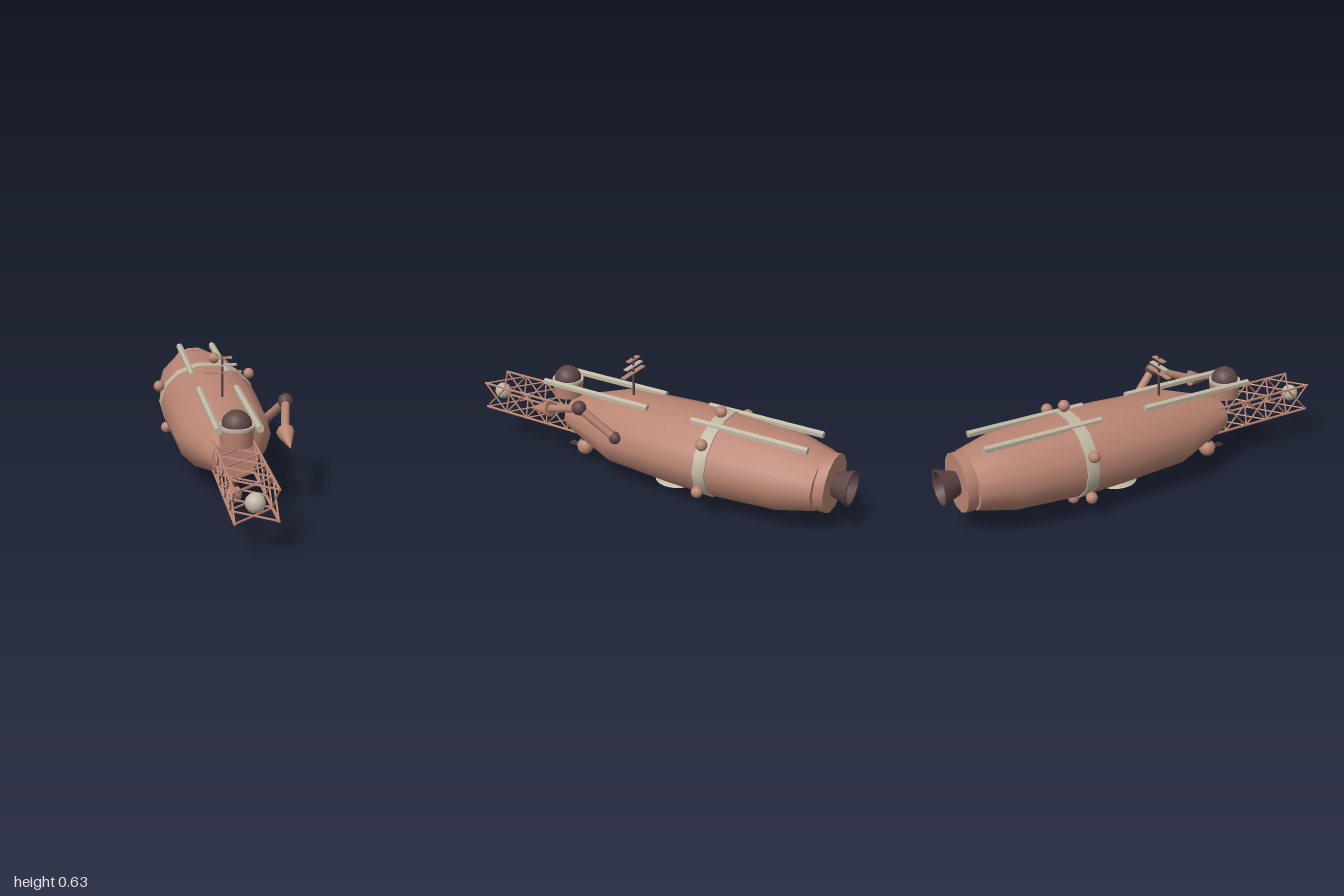
import * as THREE from 'three';
import { toCreasedNormals } from 'three/addons/utils/BufferGeometryUtils.js';

const CX = -0.016, CY = 0.257; // hull axis
const mat = (name, color, side = THREE.FrontSide) => {
  const m = new THREE.MeshStandardMaterial({ color, side });
  m.name = name;
  return m;
};
const V = (x, y, z) => new THREE.Vector3(x, y, z);

export function createModel() {
  const root = new THREE.Group();
  root.name = 'submarine';
  const hullPaint = mat('hull salmon', 0xb98472);
  const cream = mat('cream trim', 0xc0b7a2);
  const dark = mat('dark brown', 0x5c4444);
  const glass = mat('purple glass', 0x35254a);

  const add = (name, geo, material, x = 0, y = 0, z = 0, parent = root) => {
    const m = new THREE.Mesh(geo, material);
    m.name = name;
    m.position.set(x, y, z);
    parent.add(m);
    return m;
  };
  const ball = (name, r, material, p, parent = root) =>
    add(name, new THREE.SphereGeometry(r, 12, 8), material, p.x, p.y, p.z, parent);
  // Cylinder or cone running from a to b
  const rod = (name, a, b, r, material, sides = 6, rEnd = r, parent = root) => {
    const dir = b.clone().sub(a);
    const geo = toCreasedNormals(new THREE.CylinderGeometry(rEnd, r, dir.length(), sides), 0.9);
    const mid = a.clone().add(b).multiplyScalar(0.5);
    const m = add(name, geo, material, mid.x, mid.y, mid.z, parent);
    m.quaternion.setFromUnitVectors(V(0, 1, 0), dir.normalize());
    return m;
  };
  // Profile of [z, radius] turned round the long axis, squashed in height
  const spin = (profile, squash = 1) => new THREE.LatheGeometry(
    profile.map(([z, r]) => new THREE.Vector2(r, z)), 14, Math.PI / 2)
    .rotateX(Math.PI / 2).scale(1, squash, 1);

  // Hull with flat ends
  const SQ = 0.805;
  add('hull', spin([[-0.87, 0.165], [-0.7, 0.216], [-0.36, 0.244], [-0.15, 0.24],
    [0.19, 0.222], [0.48, 0.105]], SQ), hullPaint, CX, CY);
  add('nosePlate', new THREE.CircleGeometry(0.105, 14).scale(1, SQ, 1), hullPaint, CX, CY, 0.48);
  add('sternPlate', new THREE.CircleGeometry(0.165, 14).scale(1, SQ, 1).rotateY(Math.PI),
    hullPaint, CX, CY, -0.87);

  // Stern collar and hollow nozzle
  add('sternCollar', toCreasedNormals(spin([[-0.918, 0], [-0.918, 0.138], [-0.865, 0.138],
    [-0.865, 0]]), 0.6), hullPaint, CX, CY);
  add('nozzle', toCreasedNormals(spin([[-0.945, 0], [-0.945, 0.05], [-1, 0.074], [-1, 0.084],
    [-0.915, 0.054]]), 0.6), dark, CX, CY);

  // Band with six pods around it
  add('band', toCreasedNormals(spin([[-0.391, 0.235], [-0.391, 0.248], [-0.331, 0.248],
    [-0.331, 0.235]], SQ), 0.6), cream, CX, CY);
  for (const [x, y] of [[0.216, 0.136], [0.249, -0.089], [0.034, 0.226]])
    for (const s of [1, -1])
      ball('bandPod', 0.028, hullPaint, V(CX + (x === 0.249 ? -s : s) * x,
        CY + (x === 0.249 ? -s : s) * y, -0.361));

  // Deck rails, front and rear pairs
  for (const s of [1, -1])
    for (const [z0, z1] of [[0, 0.6], [-0.815, -0.238]])
      add('deckRail', toCreasedNormals(new THREE.CylinderGeometry(0.0175, 0.0175, z1 - z0, 6)
        .rotateX(Math.PI / 2), 0.5), cream, CX + s * 0.09, 0.431, (z0 + z1) / 2);

  // Lattice boom at the bow
  const boom = new THREE.Group();
  boom.name = 'latticeBoom';
  root.add(boom);
  const corners = [[-0.088, -0.067], [0.088, -0.067], [0.088, 0.067], [-0.088, 0.067]];
  const at = (i, z) => V(CX + corners[i % 4][0], CY + corners[i % 4][1], z);
  const bays = 4, z0 = 0.48, step = 0.13;
  for (let i = 0; i < 4; i++) {
    rod('boomTube', at(i, 0.42), at(i, 1), 0.0065, hullPaint, 6, 0.0065, boom);
    for (let k = 0; k < bays; k++) {
      const a = z0 + k * step, b = a + step - 0.004;
      rod('boomBrace', at(i, a), at(i + 1, b), 0.0045, hullPaint, 5, 0.0045, boom);
      rod('boomBrace', at(i + 1, a), at(i, b), 0.0045, hullPaint, 5, 0.0045, boom);
    }
  }
  add('boomLamp', new THREE.SphereGeometry(0.042, 16, 12), cream, CX, CY, 0.958);

  // Observation turret
  const TZ = 0.525;
  add('turretBase', new THREE.CylinderGeometry(0.078, 0.072, 0.078, 16), hullPaint, CX, 0.382, TZ);
  add('turretRing', new THREE.CylinderGeometry(0.079, 0.079, 0.013, 16), cream, CX, 0.425, TZ);
  add('turretDome', new THREE.SphereGeometry(0.067, 16, 8, 0, Math.PI * 2, 0, Math.PI / 2),
    dark, CX, 0.429, TZ);

  // Antenna mast with crossbars
  rod('antennaMast', V(CX, 0.42, 0.134), V(CX, 0.63, 0.134), 0.0062, dark, 8);
  for (const [y, w, m] of [[0.552, 0.18, hullPaint], [0.586, 0.134, cream], [0.62, 0.09, hullPaint]])
    add('antennaBar', new THREE.BoxGeometry(w, 0.006, 0.024), m, CX, y, 0.134);

  // Ball turret below the bow
  rod('ballPost', V(CX, 0.08, 0.433), V(CX, 0.2, 0.433), 0.019, dark, 8);
  ball('ballTurret', 0.043, hullPaint, V(CX, 0.07, 0.433));
  for (const s of [1, -1])
    rod('ballBarrel', V(CX + s * 0.0105, 0.07, 0.46), V(CX + s * 0.0105, 0.07, 0.522), 0.0045, dark);

  // Belly window
  add('bellyWindowFrame', toCreasedNormals(new THREE.LatheGeometry([[0, 0.037], [0.087, 0.036],
    [0.105, 0.047], [0.087, 0.058], [0, 0.058]].map(([r, y]) => new THREE.Vector2(r, y)), 24), 0.4),
    cream, CX, 0, -0.113);
  add('bellyWindow', new THREE.CylinderGeometry(0.084, 0.084, 0.004, 24), glass, CX, 0.0365, -0.113);
  add('bellyWindowHub', new THREE.CylinderGeometry(0.025, 0.025, 0.03, 12), glass, CX, 0.066, -0.113);

  // Jointed arm on the left side
  const arm = new THREE.Group();
  arm.name = 'arm';
  root.add(arm);
  const shoulder = V(0.198, 0.302, 0.103), elbow = V(0.255, 0.441, 0.265);
  const wrist = V(0.21, 0.366, 0.47), tip = V(0.205, 0.338, 0.602);
  ball('shoulder', 0.031, dark, shoulder, arm);
  rod('upperArm', shoulder, elbow, 0.02, hullPaint, 8, 0.02, arm);
  ball('elbow', 0.035, dark, elbow, arm);
  rod('forearm', elbow, wrist, 0.02, hullPaint, 8, 0.02, arm);
  rod('claw', wrist, tip, 0.041, hullPaint, 8, 0.001, arm);

  return root;
}
